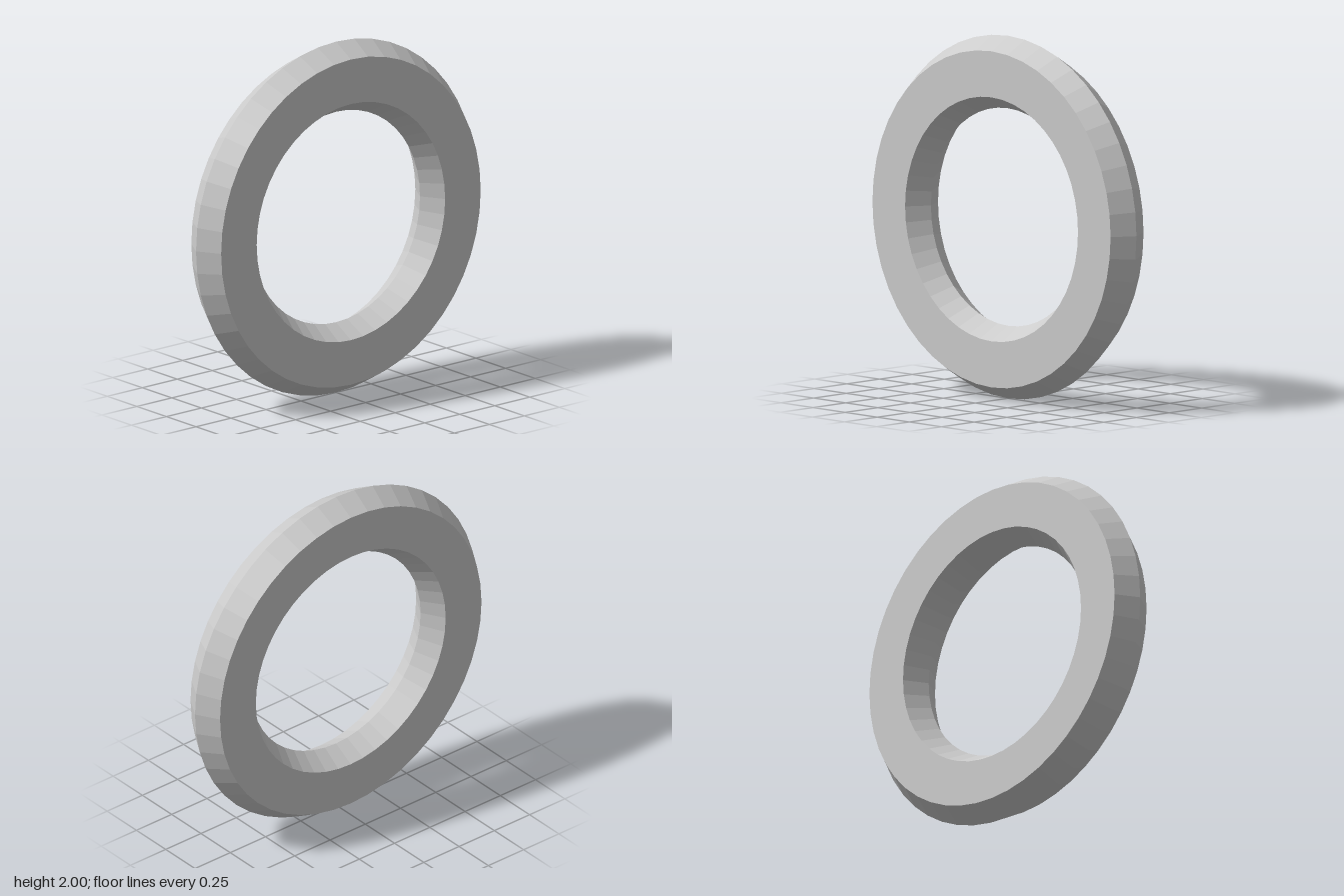
import * as THREE from 'three';

export function createModel() {
  const group = new THREE.Group();
  group.name = 'bevelledRing';

  // Six-sided cross-section (radius, depth), run counter-clockwise and closed
  const outer = 1, inner = 0.6, bevel = 0.073, half = 0.126;
  const profile = [
    [inner, 0],
    [inner + bevel, -half],
    [outer - bevel, -half],
    [outer, 0],
    [outer - bevel, half],
    [inner + bevel, half],
    [inner, 0],
  ].map(([r, d]) => new THREE.Vector2(r, d));

  // Revolve, then stand the ring upright facing +z
  const geometry = new THREE.LatheGeometry(profile, 48);
  geometry.rotateX(Math.PI / 2);
  geometry.translate(0, outer, 0);

  const material = new THREE.MeshStandardMaterial({ color: 0xcccccc, flatShading: true });
  const ring = new THREE.Mesh(geometry, material);
  ring.name = 'ring';
  group.add(ring);
  return group;
}
